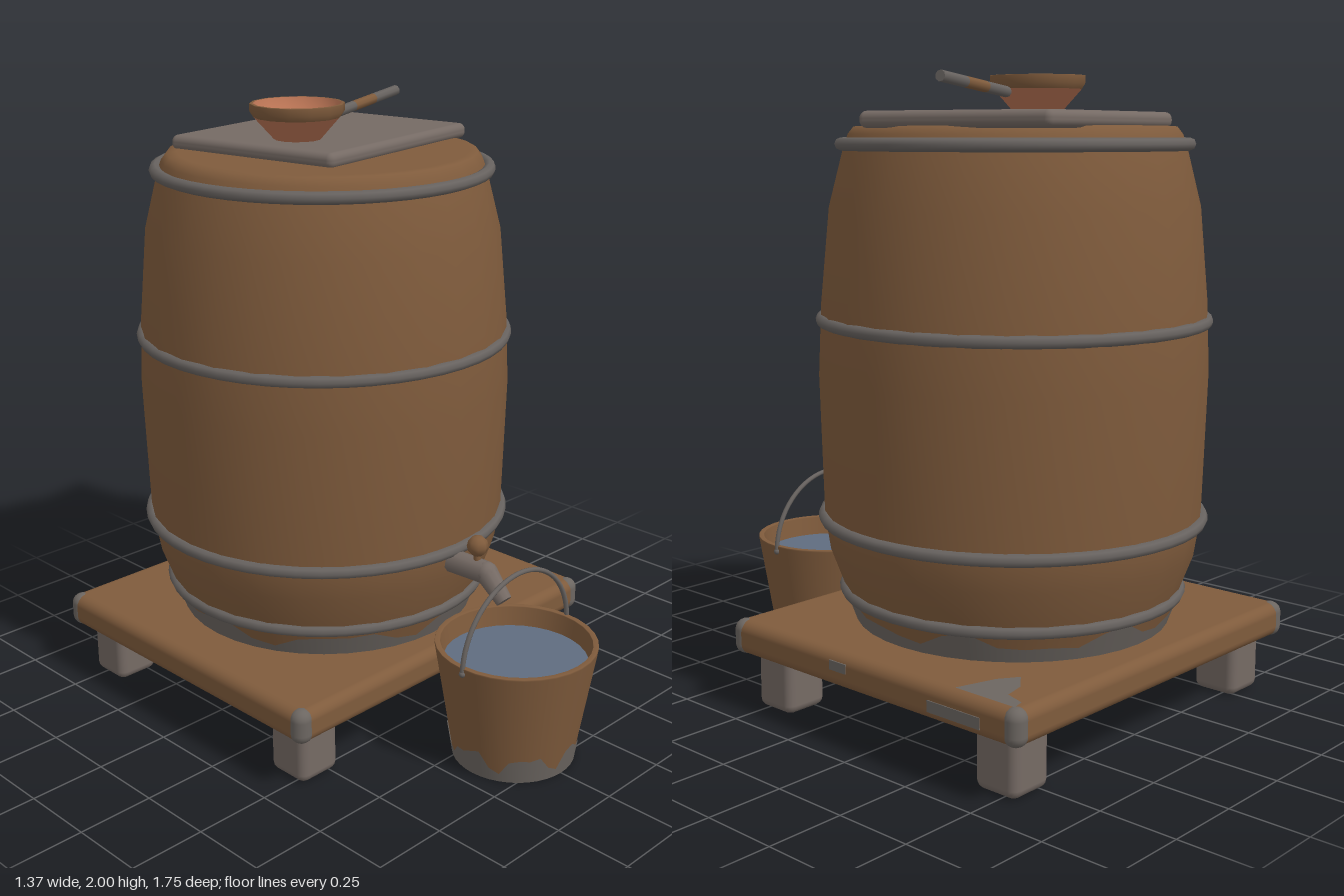
import * as THREE from 'three';
import { RoundedBoxGeometry } from 'three/addons/geometries/RoundedBoxGeometry.js';

const mat = (name, color, side = THREE.FrontSide) => {
  const m = new THREE.MeshStandardMaterial({ color, side });
  m.name = name;
  return m;
};

export function createModel() {
  const wood = mat('brown wood', 0x7f5b3c);
  const iron = mat('dark iron', 0x67625f);
  const stone = mat('warm grey stone', 0x756a64);
  const worn = mat('worn grey', 0x6c6661, THREE.DoubleSide);
  const copper = mat('copper', 0xbd7656);
  const water = mat('water blue', 0x5f6c7f);

  const model = new THREE.Group();
  model.name = 'waterBarrel';
  const add = (name, geo, m, x = 0, y = 0, z = 0, parent = model) => {
    const mesh = new THREE.Mesh(geo, m);
    mesh.name = name;
    mesh.position.set(x, y, z);
    parent.add(mesh);
    return mesh;
  };
  const lathe = (pts, seg) =>
    new THREE.LatheGeometry(pts.map(([r, y]) => new THREE.Vector2(r, y)), seg);

  // Round bar between two points, optionally tapered
  const rod = (name, a, b, ra, rb, m, seg = 10) => {
    const p = new THREE.Vector3(...a), q = new THREE.Vector3(...b);
    const d = q.clone().sub(p);
    const mesh = add(name, new THREE.CylinderGeometry(rb, ra, d.length(), seg), m);
    mesh.position.copy(p).add(q).multiplyScalar(0.5);
    mesh.quaternion.setFromUnitVectors(new THREE.Vector3(0, 1, 0), d.normalize());
    return mesh;
  };

  // Worn band round a cone, with a ragged upper edge
  const raggedBand = (name, r0, r1, h, y, z, m) => {
    const seg = 40;
    const geo = new THREE.CylinderGeometry(r1, r0, h, seg, 1, true);
    const p = geo.attributes.position;
    for (let i = 0; i <= seg; i++) {
      const a = (i / seg) * Math.PI * 2;
      const t = THREE.MathUtils.clamp(
        0.62 + 0.25 * Math.sin(7 * a) + 0.16 * Math.sin(13 * a + 1), 0.2, 1);
      const r = THREE.MathUtils.lerp(r0, r1, t);
      p.setXYZ(i, r * Math.sin(a), h * (t - 0.5), r * Math.cos(a));
    }
    return add(name, geo, m, 0, y + h / 2, z);
  };

  // Platform and legs
  const cz = -0.255;
  add('platform', new RoundedBoxGeometry(1.36, 0.11, 1.2, 3, 0.035), wood, 0, 0.235, cz);
  for (const sx of [-1, 1]) {
    for (const sz of [-1, 1]) {
      add('leg', new RoundedBoxGeometry(0.155, 0.19, 0.155, 2, 0.028), stone,
        sx * 0.547, 0.095, cz + sz * 0.468);
      add('wornCorner', new RoundedBoxGeometry(0.07, 0.114, 0.07, 3, 0.034), worn,
        sx * 0.647, 0.235, cz + sz * 0.567);
    }
  }

  // Worn patch on the platform top
  const patch = new THREE.Shape([[0.61, -0.81], [0.65, -0.82], [0.65, -0.6], [0.52, -0.64],
    [0.46, -0.68], [0.52, -0.73], [0.59, -0.745]].map(([x, z]) => new THREE.Vector2(x, -z)));
  add('wornPatch', new THREE.ShapeGeometry(patch), worn, 0, 0.292, 0).rotation.x = -Math.PI / 2;
  // Worn scrapes on the platform side
  add('wornScrape', new THREE.BoxGeometry(0.006, 0.035, 0.2), worn, 0.68, 0.226, -0.62);
  add('wornScrape', new THREE.BoxGeometry(0.006, 0.03, 0.07), worn, 0.68, 0.25, -0.15);

  // Barrel body with flat lid
  add('barrel', lathe([[0.5, 0.285], [0.54, 0.4], [0.585, 0.52], [0.602, 0.63], [0.615, 1.08],
    [0.606, 1.3], [0.578, 1.6], [0.532, 1.78], [0.518, 1.82], [0.5, 1.843], [0.47, 1.845],
    [0, 1.845]], 28), wood, 0, 0, -0.25);
  raggedBand('barrelWornBase', 0.505, 0.538, 0.09, 0.29, -0.25, worn);

  // Hoops
  for (const [y, r] of [[0.39, 0.537], [0.625, 0.602], [1.25, 0.603], [1.79, 0.538]]) {
    add('hoop', new THREE.TorusGeometry(r, 0.02, 8, 48), iron, 0, y, -0.25).rotation.x = Math.PI / 2;
  }

  // Slab lying askew on the lid
  add('slab', new RoundedBoxGeometry(0.77, 0.05, 0.65, 3, 0.022), stone, 0.097, 1.862, -0.355)
    .rotation.y = 0.17;

  // Ladle: open copper cup with a gripped handle
  const ladle = new THREE.Group();
  ladle.name = 'ladle';
  ladle.position.set(-0.098, 0, -0.26);
  model.add(ladle);
  add('cupOuter', lathe([[0.076, 1.887], [0.14, 1.958]], 14), copper, 0, 0, 0, ladle);
  add('cupBand', lathe([[0.14, 1.958], [0.151, 1.975], [0.152, 1.999], [0.15, 2], [0.141, 2]], 14),
    wood, 0, 0, 0, ladle);
  add('cupInner', lathe([[0.141, 2], [0.13, 1.965], [0.074, 1.888]], 14), copper, 0, 0, 0, ladle);
  const start = new THREE.Vector3(0.055, 1.947, -0.265), end = new THREE.Vector3(0.428, 1.984, -0.337);
  const along = (t) => start.clone().lerp(end, t).toArray();
  rod('ladleHandle', along(0), along(0.33), 0.017, 0.017, iron, 8);
  rod('ladleGrip', along(0.33), along(0.64), 0.017, 0.017, wood, 8);
  rod('ladleHandleEnd', along(0.64), along(1), 0.017, 0.017, iron, 8);

  // Tap
  rod('tapPipe', [0, 0.582, 0.32], [0, 0.586, 0.485], 0.039, 0.037, stone);
  add('tapElbow', new THREE.SphereGeometry(0.037, 10, 8), stone, 0, 0.586, 0.485);
  rod('tapSpout', [0, 0.586, 0.485], [0, 0.512, 0.56], 0.037, 0.027, stone);
  rod('tapStem', [0, 0.6, 0.445], [0, 0.65, 0.445], 0.012, 0.012, wood, 8);
  add('tapKnob', new THREE.SphereGeometry(0.035, 8, 6), wood, 0, 0.667, 0.445);

  // Bucket
  const bz = 0.615;
  add('bucket', lathe([[0, 0], [0.193, 0], [0.195, 0.002], [0.259, 0.39], [0.259, 0.394],
    [0.258, 0.395], [0.242, 0.395], [0.241, 0.392], [0.224, 0.29]], 32), wood, 0, 0, bz);
  raggedBand('bucketWornBase', 0.198, 0.216, 0.11, 0.001, bz, worn);
  add('water', new THREE.CircleGeometry(0.234, 32), water, 0, 0.33, bz).rotation.x = -Math.PI / 2;
  add('bucketHandle', new THREE.TorusGeometry(0.257, 0.008, 8, 32, Math.PI), iron, 0, 0.372, bz)
    .scale.set(1, 0.99, 1);
  for (const s of [-1, 1]) {
    add('handlePivot', new THREE.SphereGeometry(0.011, 8, 6), iron, s * 0.257, 0.375, bz);
  }
  return model;
}
